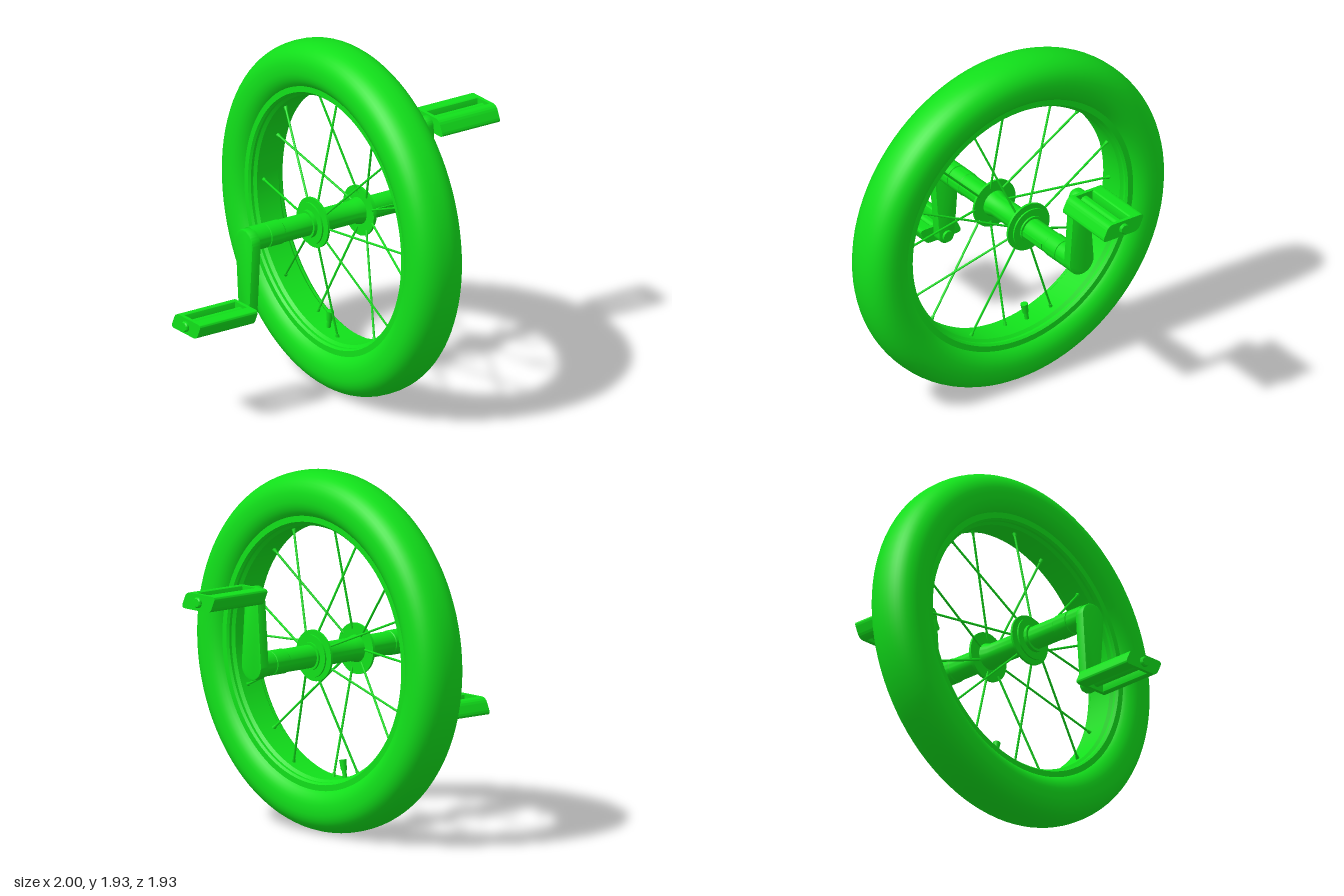
import * as THREE from 'three';
import { toCreasedNormals } from 'three/addons/utils/BufferGeometryUtils.js';

const green = new THREE.MeshStandardMaterial({ color: 0x11e01a });
const WHEEL_Y = 0.968, WHEEL_X = 0.014;

function add(parent, name, geometry) {
  const mesh = new THREE.Mesh(geometry, green);
  mesh.name = name;
  parent.add(mesh);
  return mesh;
}

// Revolves [radius, x] points around the x axis
function turned(points, segments = 48) {
  const g = new THREE.LatheGeometry(points.map(([r, x]) => new THREE.Vector2(r, x)), segments);
  return g.rotateZ(-Math.PI / 2);
}
const sharpTurned = (points, segments) => toCreasedNormals(turned(points, segments), 0.6);

// Extrudes a side outline (horizontal = -z, vertical = y) from x0 to x1
function slab(shape, x0, x1, bevel = 0) {
  const g = new THREE.ExtrudeGeometry(shape, {
    depth: x1 - x0 - 2 * bevel, curveSegments: 16,
    bevelEnabled: bevel > 0, bevelSize: bevel, bevelThickness: bevel, bevelOffset: -bevel, bevelSegments: 2,
  });
  return toCreasedNormals(g.rotateY(Math.PI / 2).translate(x0 + bevel, 0, 0), 0.6);
}

// Polygon whose corners [x, y, radius] are rounded
function roundedPolygon(corners) {
  const shape = new THREE.Shape();
  corners.forEach(([x, y, r], i) => {
    const p = new THREE.Vector2(x, y);
    const toward = (c) => new THREE.Vector2(c[0], c[1]).sub(p).setLength(r).add(p);
    const a = toward(corners.at(i - 1)), b = toward(corners[(i + 1) % corners.length]);
    if (i === 0) shape.moveTo(a.x, a.y); else shape.lineTo(a.x, a.y);
    shape.quadraticCurveTo(x, y, b.x, b.y);
  });
  shape.closePath();
  return shape;
}

// Straight rod between two points
function rod(a, b, r0, r1 = r0, sides = 8) {
  const d = b.clone().sub(a);
  const g = new THREE.CylinderGeometry(r1, r0, d.length(), sides);
  g.applyQuaternion(new THREE.Quaternion().setFromUnitVectors(new THREE.Vector3(0, 1, 0), d.clone().normalize()));
  return g.translate(...a.clone().add(b).multiplyScalar(0.5).toArray());
}

function makeWheel() {
  const wheel = new THREE.Group();
  wheel.name = 'wheel';
  wheel.position.set(WHEEL_X, WHEEL_Y, 0);

  // Fat tyre with a squarish oval section
  const section = [];
  const power = (v) => Math.sign(v) * Math.abs(v) ** (2 / 2.3);
  for (let i = 0; i <= 40; i++) {
    const a = (i / 40) * Math.PI * 2 + Math.PI;
    section.push([0.832 + 0.134 * power(Math.cos(a)), 0.153 * power(Math.sin(a))]);
  }
  add(wheel, 'tyre', turned(section, 96));

  // Rim with side lips and a raised inner band
  add(wheel, 'rim', sharpTurned([
    [0.69, -0.085], [0.69, -0.1], [0.7, -0.112], [0.735, -0.112], [0.735, 0.112], [0.7, 0.112],
    [0.69, 0.1], [0.69, 0.085], [0.676, 0.07], [0.676, -0.07], [0.69, -0.085],
  ], 96));

  // Spokes alternate between the two hub flanges
  for (let i = 0; i < 16; i++) {
    const a = (i / 16) * Math.PI * 2, side = i % 2 ? 1 : -1;
    const at = (x, r) => new THREE.Vector3(x, Math.cos(a) * r, Math.sin(a) * r);
    const inner = at(side * 0.145 - WHEEL_X, 0.1), outer = at(side * 0.025, 0.685);
    add(wheel, 'spoke', rod(inner, outer, 0.006));
    add(wheel, 'spokeNipple', rod(inner.clone().lerp(outer, 0.95), outer, 0.008, 0.012));
  }

  // Valve
  const v = (y, z) => new THREE.Vector3(0, y - WHEEL_Y, z);
  add(wheel, 'valveStem', rod(v(0.27, -0.128), v(0.36, -0.112), 0.012, 0.012, 12));
  add(wheel, 'valveCap', rod(v(0.345, -0.114), v(0.4, -0.104), 0.016, 0.02, 12));
  return wheel;
}

function makeHub() {
  const hub = new THREE.Group();
  hub.name = 'hub';
  hub.position.set(0, 0.966, -0.03);
  hub.rotation.set(0, 0.02, -0.008);

  // Hub shell and stepped axle sleeves
  add(hub, 'hubShell', sharpTurned([
    [0, -0.2], [0.075, -0.2], [0.075, -0.15], [0.062, -0.1], [0.062, 0.1], [0.075, 0.15], [0.075, 0.19], [0, 0.19],
  ]));
  for (const s of [-1, 1]) {
    const sleeve = add(hub, 'axleSleeve', sharpTurned([
      [0, 0.15], [0.062, 0.15], [0.062, 0.375], [0.066, 0.38], [0.066, 0.468], [0.061, 0.47],
      [0.061, 0.475], [0.066, 0.477], [0.066, 0.57], [0, 0.57],
    ]));
    if (s < 0) sleeve.rotation.y = Math.PI;
    // Wide spoke flange and a smaller outer washer
    for (const [x, r, t] of [[0.15, 0.137, 0.012], [0.175, 0.115, 0.009]]) {
      add(hub, 'hubFlange', sharpTurned([
        [0.05, -t / 2], [r, -t / 2], [r, t / 2], [0.05, t / 2],
      ])).position.x = s * x;
    }
  }
  // Raised key on the left sleeve
  add(hub, 'sleeveKey', new THREE.BoxGeometry(0.17, 0.03, 0.02)).position.set(0.27, 0, 0.057);
  return hub;
}

// Tapered arm: wide round end at the origin, narrow end at height `length`
function crankShape(length, r0, r1) {
  const tilt = Math.asin((r0 - r1) / length);
  const shape = new THREE.Shape();
  shape.absarc(0, 0, r0, Math.PI - tilt, tilt, false);
  shape.absarc(0, length, r1, tilt, Math.PI - tilt, false);
  shape.closePath();
  return shape;
}

function makeCrank(side) {
  const crank = new THREE.Group();
  crank.name = side > 0 ? 'leftCrank' : 'rightCrank';
  add(crank, 'crankArm', slab(crankShape(0.375, 0.078, 0.05), -0.028, 0.028, 0.005));
  // Bolt boss behind the pedal thread
  const boss = add(crank, 'pedalBoss', new THREE.CylinderGeometry(0.031, 0.031, 0.025, 24));
  boss.rotation.z = Math.PI / 2;
  boss.position.set(-side * 0.03, 0.38, 0);
  if (side < 0) crank.rotation.x = Math.PI;
  crank.position.set(side * 0.583, side > 0 ? 0.966 : 0.955, side > 0 ? -0.052 : -0.013);
  return crank;
}

function makePedal(side) {
  const pedal = new THREE.Group();
  pedal.name = side > 0 ? 'leftPedal' : 'rightPedal';

  // End plates with the slanted outline
  const outline = roundedPolygon([
    [-0.137, -0.045, 0.03], [0.095, -0.045, 0.03], [0.137, 0.045, 0.03], [-0.095, 0.045, 0.03],
  ]);
  for (const x of [0, 0.352]) add(pedal, 'pedalEndPlate', slab(outline, x, x + 0.02));

  // Front and back treads, point-symmetric about the spindle
  const tread = roundedPolygon([
    [-0.137, -0.045, 0.03], [-0.05, -0.045, 0.012], [-0.05, 0.045, 0.012], [-0.095, 0.045, 0.03],
  ]);
  for (const turn of [0, Math.PI]) {
    add(pedal, 'pedalTread', slab(tread, 0.01, 0.362)).rotation.x = turn;
  }

  // Spindle showing at both ends
  add(pedal, 'pedalSpindle', sharpTurned([[0, -0.05], [0.028, -0.05], [0.028, 0.382], [0.022, 0.388], [0, 0.388]], 24));

  if (side < 0) pedal.rotation.y = Math.PI;
  pedal.position.set(side * 0.612, side > 0 ? 1.349 : 0.573, side > 0 ? -0.055 : -0.013);
  return pedal;
}

export function createModel() {
  const model = new THREE.Group();
  model.name = 'pedalWheel';
  model.add(makeWheel(), makeHub());
  for (const side of [1, -1]) model.add(makeCrank(side), makePedal(side));
  return model;
}
